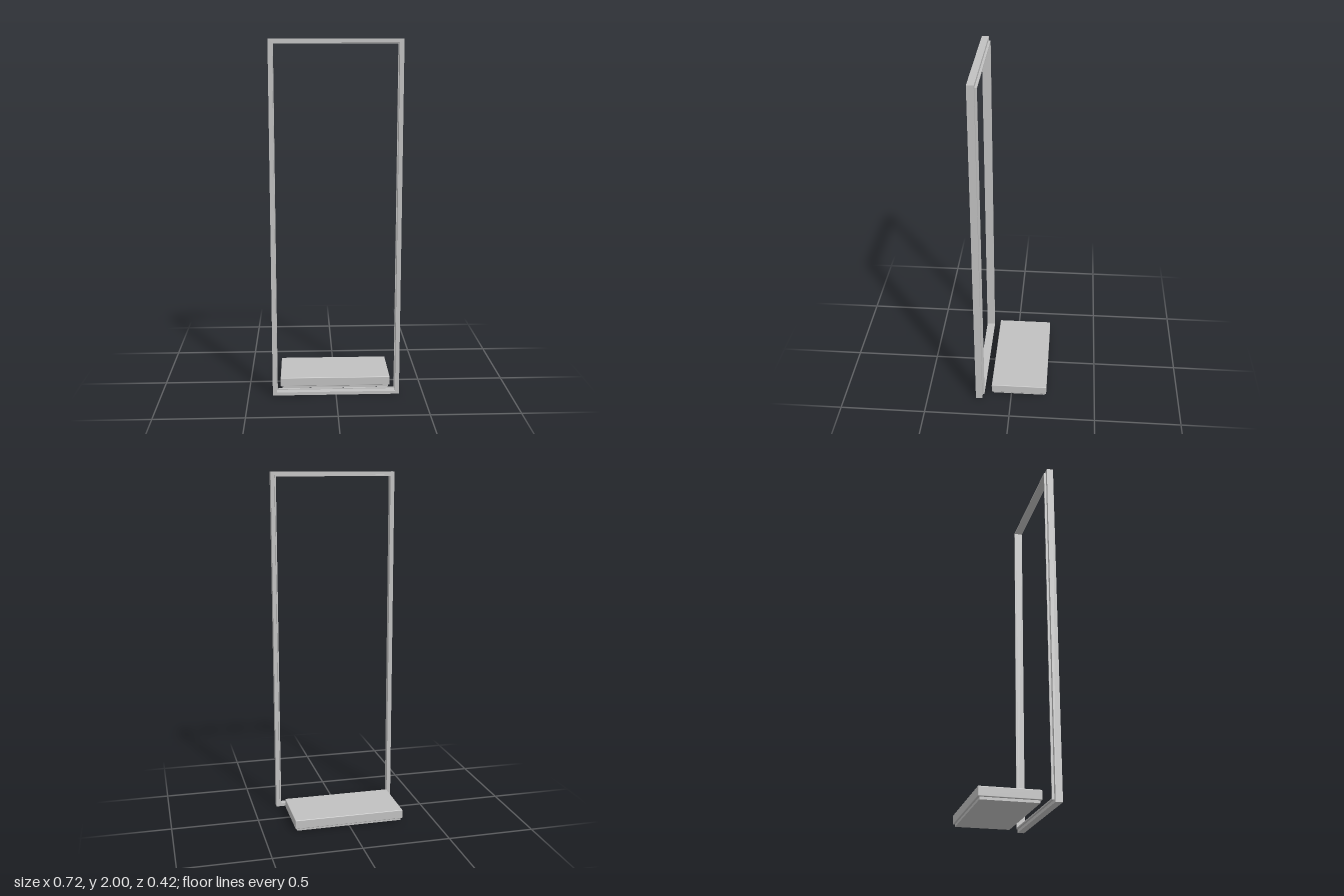
import * as THREE from 'three';
import { RoundedBoxGeometry } from 'three/addons/geometries/RoundedBoxGeometry.js';

// Rectangular ring in the xy plane, extruded from z0 to z1
function ring(half, y0, y1, inHalf, in0, in1, z0, z1) {
  const rect = (P, h, a, b) => {
    const p = new P();
    p.moveTo(-h, a);
    p.lineTo(h, a);
    p.lineTo(h, b);
    p.lineTo(-h, b);
    p.closePath();
    return p;
  };
  const shape = rect(THREE.Shape, half, y0, y1);
  shape.holes.push(rect(THREE.Path, inHalf, in0, in1));
  const geo = new THREE.ExtrudeGeometry(shape, { depth: z1 - z0, bevelEnabled: false });
  return geo.translate(0, 0, z0);
}

export function createModel() {
  const model = new THREE.Group();
  const grey = new THREE.MeshStandardMaterial({ color: 0xc0c0c0 });
  grey.name = 'light grey';

  const add = (name, geometry, x = 0, y = 0, z = 0) => {
    const mesh = new THREE.Mesh(geometry, grey);
    mesh.name = name;
    mesh.position.set(x, y, z);
    model.add(mesh);
  };

  // Tall open frame with a narrower lip stepped in behind it
  add('frame', ring(0.362, 0, 2, 0.339, 0.018, 1.978, 0.172, 0.21));
  add('frameLip', ring(0.342, 0.016, 1.981, 0.335, 0.023, 1.974, 0.16, 0.172));

  // Low platform with softened edges, on a slightly inset base
  add('platform', new RoundedBoxGeometry(0.637, 0.052, 0.329, 3, 0.004), -0.001, 0.042, -0.046);
  add('platformBase', new THREE.BoxGeometry(0.617, 0.016, 0.31), -0.001, 0.01, -0.045);

  return model;
}
